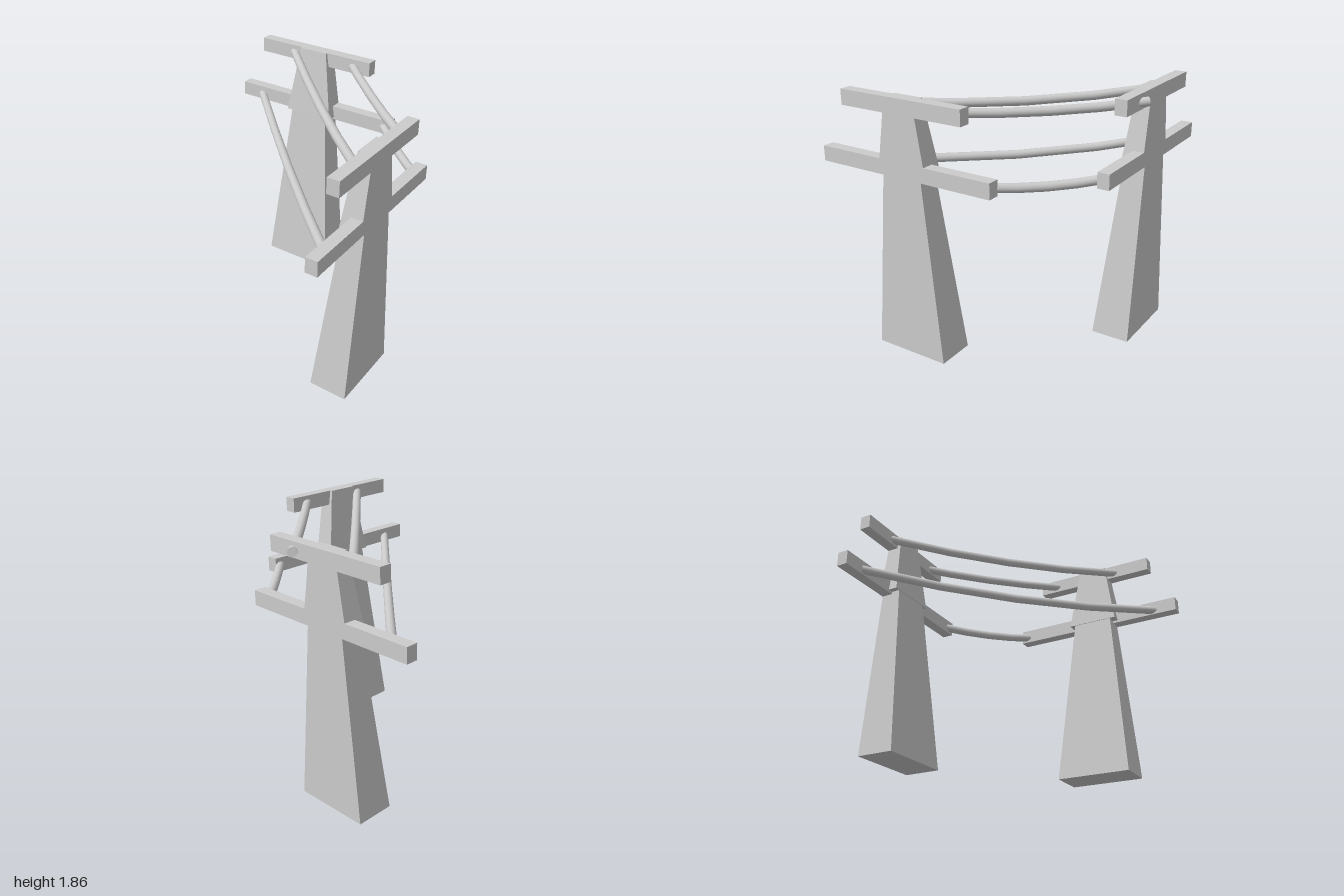
import * as THREE from 'three';

const material = new THREE.MeshStandardMaterial({ color: 0xcccccc });
const flat = new THREE.MeshStandardMaterial({ color: 0xcccccc, flatShading: true });

function add(parent, name, geometry, mat = flat) {
  const mesh = new THREE.Mesh(geometry, mat);
  mesh.name = name;
  parent.add(mesh);
  return mesh;
}

// Tapered block with an upright back at z = 0, narrowing towards the top
function taperedBlock(y0, y1, half0, half1, depth0, depth1) {
  const geometry = new THREE.BoxGeometry(2, 1, 1).translate(0, 0.5, 0.5);
  const p = geometry.attributes.position;
  for (let i = 0; i < p.count; i++) {
    const t = p.getY(i);
    p.setXYZ(i,
      p.getX(i) * THREE.MathUtils.lerp(half0, half1, t),
      THREE.MathUtils.lerp(y0, y1, t),
      p.getZ(i) * THREE.MathUtils.lerp(depth0, depth1, t));
  }
  geometry.computeVertexNormals();
  return geometry;
}

// One pylon: tapered leg, wider tapered head and two cross arms
function makePylon(name) {
  const pylon = new THREE.Group();
  pylon.name = name;
  add(pylon, 'pylonLeg', taperedBlock(0, 1.34, 0.287, 0.158, 0.285, 0.155));
  add(pylon, 'pylonHead', taperedBlock(1.34, 1.86, 0.2, 0.115, 0.16, 0.105));
  for (const [part, length, y] of [['lowerArm', 1.4, 1.375], ['upperArm', 0.985, 1.805]]) {
    add(pylon, part, new THREE.BoxGeometry(length, 0.11, 0.087)).position.set(0, y, 0.0435);
  }
  return pylon;
}

// Sagging cable running diagonally along x - z = offset, with closed ends
function makeCable(name, x0, x1, offset, y, sag) {
  const cable = new THREE.Group();
  cable.name = name;
  const radius = 0.032;
  const a = new THREE.Vector3(x0, y, x0 - offset);
  const b = new THREE.Vector3(x1, y, x1 - offset);
  const mid = a.clone().lerp(b, 0.5);
  mid.y -= sag * 2;
  const curve = new THREE.QuadraticBezierCurve3(a, mid, b);
  add(cable, 'cableBody', new THREE.TubeGeometry(curve, 4, radius, 16), material);
  for (const [end, t, sign] of [[a, 0, -1], [b, 1, 1]]) {
    const cap = add(cable, 'cableEnd', new THREE.CircleGeometry(radius, 16));
    cap.position.copy(end);
    cap.lookAt(end.clone().addScaledVector(curve.getTangent(t), sign));
  }
  return cable;
}

export function createModel() {
  const model = new THREE.Group();
  model.name = 'cornerPowerLine';

  // Two pylons set at right angles to each other
  const back = makePylon('backPylon');
  back.position.set(-0.27, 0, -0.945);
  const side = makePylon('sidePylon');
  side.position.set(0.967, 0, 0.297);
  side.rotation.y = -Math.PI / 2;
  model.add(back, side);

  // Four cables between matching arm ends
  model.add(
    makeCable('lowerOuterCable', -0.785, 0.91, 0.085, 1.363, 0.068),
    makeCable('lowerInnerCable', 0.36, 0.91, 1.245, 1.37, 0.022),
    makeCable('upperOuterCable', -0.47, 0.91, 0.405, 1.8, 0.05),
    makeCable('upperInnerCable', -0.033, 0.91, 0.945, 1.802, 0.025),
  );
  return model;
}
